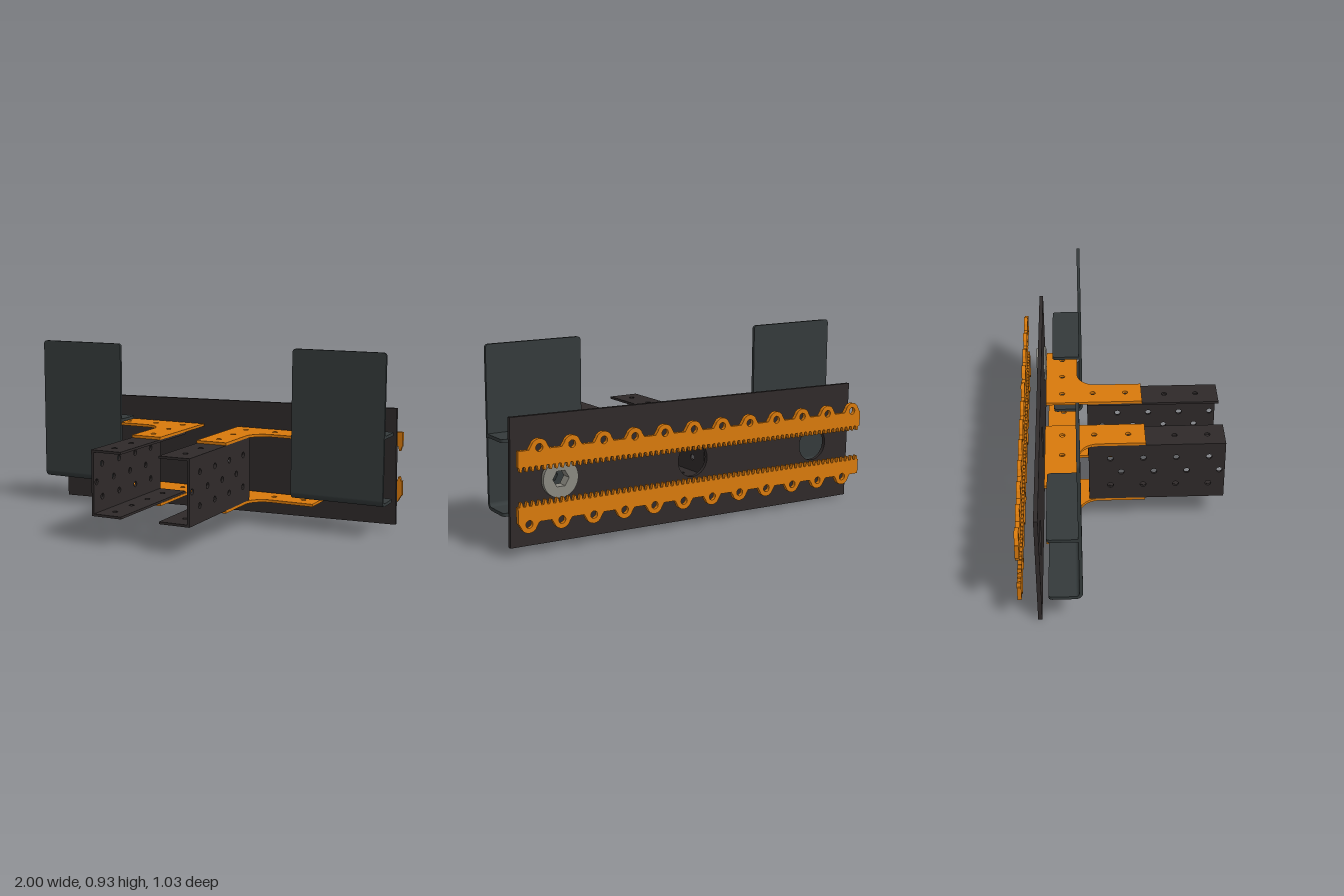
import * as THREE from 'three';

const mat = (color) => new THREE.MeshStandardMaterial({ color });
const DARK = mat(0x2f2a2a), SLATE = mat(0x343a3b), ORANGE = mat(0xd97a0c), METAL = mat(0x8a8880);

const hole = (x, y, r, n = 24) => {
  const pts = [];
  for (let i = 0; i < n; i++) {
    const a = (i / n) * Math.PI * 2;
    pts.push(new THREE.Vector2(x + r * Math.cos(a), y + r * Math.sin(a)));
  }
  return new THREE.Path(pts);
};
const poly = (pts) => new THREE.Shape(pts.map(([x, y]) => new THREE.Vector2(x, y)));
const rect = (x0, y0, x1, y1) => poly([[x0, y0], [x1, y0], [x1, y1], [x0, y1]]);
const extrude = (shape, depth) =>
  new THREE.ExtrudeGeometry(shape, { depth, bevelEnabled: false, curveSegments: 12 });

export function createModel() {
  const model = new THREE.Group();
  const add = (name, geo, material, parent = model) => {
    const m = new THREE.Mesh(geo, material);
    m.name = name;
    parent.add(m);
    return m;
  };
  // horizontal plate: shape in (x, z), thickness going down from top
  const flat = (shape, t, top) => extrude(shape, t).rotateX(Math.PI / 2).translate(0, top, 0);
  // upright plate: shape in (z, y), thickness going towards -x
  const side = (shape, t, x) => extrude(shape, t).rotateY(-Math.PI / 2).translate(x, 0, 0);

  // slightly tilted rear assembly: back plate and two toothed racks
  const rear = new THREE.Group();
  rear.name = 'rearAssembly';
  rear.position.set(0.003, 0.318, 0);
  rear.rotation.z = 0.0178;
  model.add(rear);

  const plate = rect(-0.985, -0.3, 0.985, 0.3);
  for (const x of [-0.75, 0, 0.74]) plate.holes.push(hole(x, 0, 0.085, 40));
  add('backPlate', extrude(plate, 0.02).translate(0, 0, -0.425), DARK, rear);

  const rackShape = () => {
    const pts = [], n = 66, L = 0.99, p = (2 * L) / n;
    for (let i = 0; i < n; i++) {
      const x = -L + i * p;
      pts.push([x, 0.09], [x + p * 0.25, 0.09], [x + p * 0.42, 0.068], [x + p * 0.68, 0.068], [x + p * 0.85, 0.09]);
    }
    pts.push([L, 0.09], [L, 0.165]);
    // rounded lugs along the outer edge
    for (let i = 11; i >= 0; i--) {
      const cx = -0.935 + i * 0.1655;
      pts.push([cx + 0.052, 0.165]);
      for (let k = 0; k <= 8; k++) {
        const a = 0.3 + (k / 8) * (Math.PI - 0.6);
        pts.push([cx + 0.042 * Math.cos(a), 0.171 + 0.042 * Math.sin(a)]);
      }
      pts.push([Math.max(cx - 0.052, -L + 0.001), 0.165]);
    }
    pts.push([-L, 0.165]);
    const s = poly(pts);
    for (let i = 0; i < 12; i++) s.holes.push(hole(-0.935 + i * 0.1655, 0.172, 0.018, 16));
    return s;
  };
  for (const [name, turn] of [['upperRack', 0], ['lowerRack', Math.PI]]) {
    add(name, extrude(rackShape(), 0.02).rotateZ(turn).translate(0, 0, -0.515), ORANGE, rear);
  }

  // left and right halves of the central frame
  const cx = 0.0125;
  for (const s of [1, -1]) {
    const half = new THREE.Group();
    half.name = s > 0 ? 'leftFrame' : 'rightFrame';
    model.add(half);
    const X = (u) => cx + s * u;
    const shift = s > 0 ? 0 : 0.028;

    // channel web with three rows of holes
    const web = rect(-0.17, 0.14, 0.515, 0.47);
    for (let i = 0; i < 4; i++) {
      const z = 0.405 - i * 0.165 + shift;
      web.holes.push(hole(z, 0.39, 0.015, 16), hole(z, 0.225, 0.015, 16));
      web.holes.push(hole(z + 0.082 - shift, 0.307, 0.015, 16));
    }
    add('channelWeb', side(web, 0.012, s > 0 ? X(0.2675) : X(0.2555)), DARK, half);

    // channel flanges and L-shaped corner brackets, top and bottom
    for (const [flangeTop, bracketTop] of [[0.47, 0.484], [0.152, 0.14]]) {
      const flange = rect(X(0.1045), -0.17, X(0.2565), 0.515);
      for (let i = 0; i < 4; i++) flange.holes.push(hole(X(0.1875), 0.4 + shift - i * 0.165, 0.014, 16));
      add('channelFlange', flat(flange, 0.012, flangeTop), DARK, half);

      const pts = [[0.1025, -0.385], [0.5975, -0.385], [0.5975, -0.22]];
      for (let k = 0; k <= 10; k++) {
        const a = (k / 10) * Math.PI / 2;
        pts.push([0.3675 - 0.1 * Math.sin(a), -0.12 - 0.1 * Math.cos(a)]);
      }
      pts.push([0.2675, 0.115], [0.1025, 0.115]);
      const bracket = poly(pts.map(([u, z]) => [X(u), z]));
      for (const [u, z] of [[0.1875, 0.03], [0.1875, -0.14], [0.1875, -0.3], [0.3525, -0.3], [0.5175, -0.3]])
        bracket.holes.push(hole(X(u), z, 0.014, 16));
      add('cornerBracket', flat(bracket, 0.014, bracketTop), ORANGE, half);
    }
  }

  // tall front paddles, bent back at the foot, with a shelf behind
  const paddle = (name, x0, y0, zf) => {
    const g = new THREE.Group();
    g.name = name;
    model.add(g);
    const t = 0.016, w = 0.49, x1 = x0 + w, top = y0 + 0.77, r = 0.02, R = 0.035;
    const wall = new THREE.Shape();
    wall.moveTo(x0, y0 + R);
    wall.lineTo(x1, y0 + R);
    wall.lineTo(x1, top - r);
    wall.quadraticCurveTo(x1, top, x1 - r, top);
    wall.lineTo(x0 + r, top);
    wall.quadraticCurveTo(x0, top, x0, top - r);
    add('paddleWall', extrude(wall, t).translate(0, 0, zf - t), SLATE, g);

    // quarter-round bend between wall and bottom flange
    const bend = new THREE.Shape();
    bend.absarc(zf - R, y0 + R, R, 0, -Math.PI / 2, true);
    bend.absarc(zf - R, y0 + R, R - t, -Math.PI / 2, 0, false);
    add('paddleBend', side(bend, w, x1), SLATE, g);

    const ledge = (zFront) => {
      const zb = zf - 0.16, s = new THREE.Shape();
      s.moveTo(x0, zFront);
      s.lineTo(x0, zb + r);
      s.quadraticCurveTo(x0, zb, x0 + r, zb);
      s.lineTo(x1 - r, zb);
      s.quadraticCurveTo(x1, zb, x1, zb + r);
      s.lineTo(x1, zFront);
      return s;
    };
    add('bottomFlange', flat(ledge(zf - R), t, y0 + t), SLATE, g);
    add('shelf', flat(ledge(zf - t), t, y0 + 0.358), SLATE, g);
  };
  paddle('leftPaddle', 0.5, 0.164, -0.193);
  paddle('rightPaddle', -1, 0.145, -0.212);

  // double toothed pulley behind the left paddle
  const pulley = new THREE.Group();
  pulley.name = 'pulley';
  pulley.position.set(0.74, 0.325, -0.305);
  model.add(pulley);
  const gear = poly(Array.from({ length: 96 }, (_, i) => {
    const a = (i / 96) * Math.PI * 2, rr = i % 4 < 2 ? 0.118 : 0.106;
    return [rr * Math.cos(a), rr * Math.sin(a)];
  }));
  gear.holes.push(hole(0, 0, 0.03, 6));
  const ring = (r) => {
    const s = new THREE.Shape(hole(0, 0, r, 48).getPoints());
    s.holes.push(hole(0, 0, 0.03, 6));
    return s;
  };
  for (const s of [1, -1]) {
    add('pulleyTeeth', extrude(gear, 0.034).translate(0, 0, s * 0.021 - 0.017), SLATE, pulley);
    add('pulleyRim', extrude(ring(0.133), 0.006).translate(0, 0, s * 0.041 - 0.003), SLATE, pulley);
    add('pulleyHub', extrude(ring(0.075), 0.006).translate(0, 0, s * 0.047 - 0.003), SLATE, pulley);
  }
  add('pulleyCore', extrude(ring(0.045), 0.01).translate(0, 0, -0.005), SLATE, pulley);

  // flanged bearing with hexagonal bore set in the back plate
  const bearing = (r, z, d) => {
    const s = new THREE.Shape(hole(0, 0, r, 48).getPoints());
    s.holes.push(hole(0, 0, 0.042, 6));
    return extrude(s, d).translate(0.742, 0.33, z);
  };
  add('bearingBody', bearing(0.09, -0.446, 0.042), METAL);
  add('bearingFlange', bearing(0.099, -0.404, 0.01), METAL);

  return model;
}
